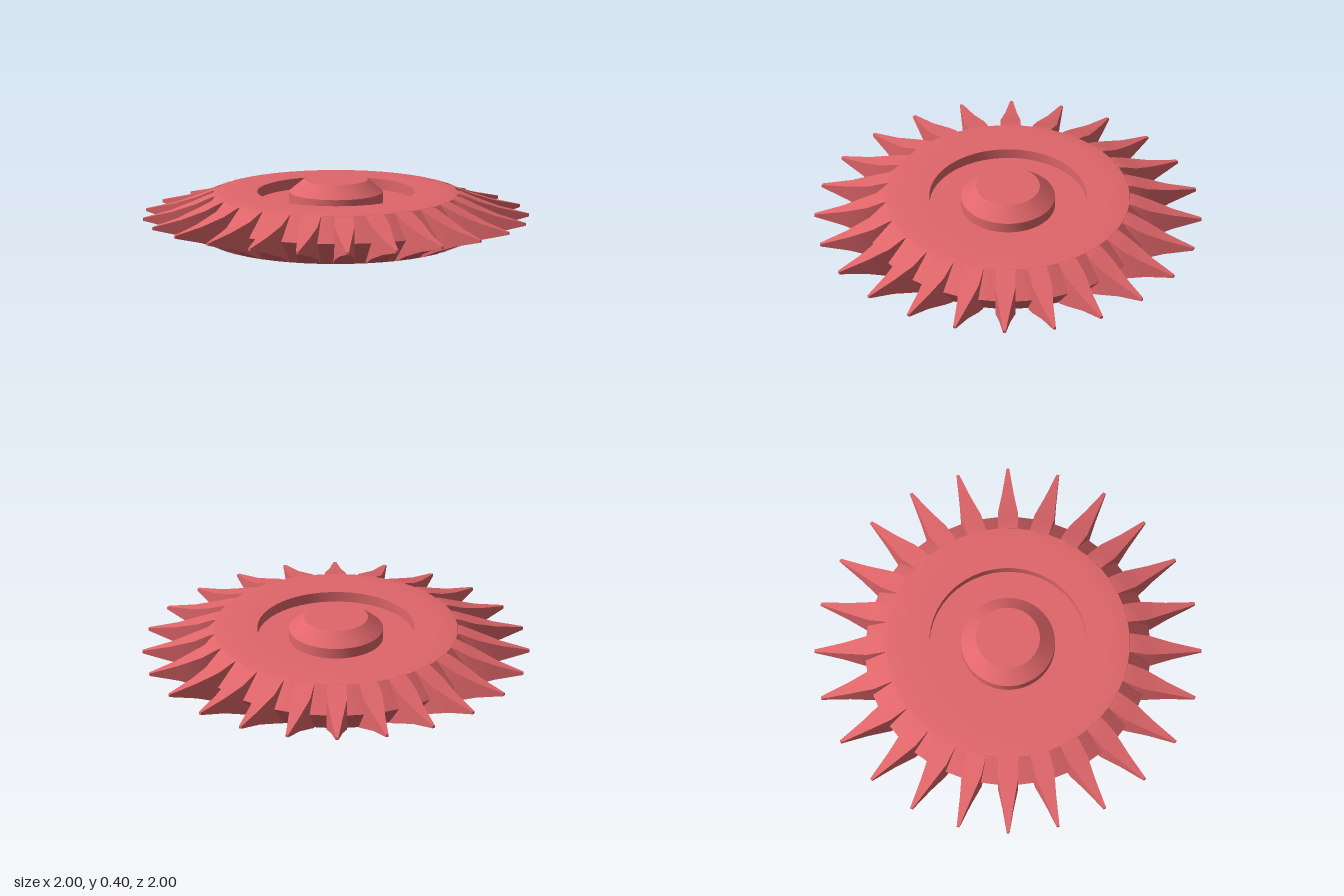
import * as THREE from 'three';
import { toCreasedNormals } from 'three/addons/utils/BufferGeometryUtils.js';

const MID = 0.2; // height of the disc's middle plane
const SPIKES = 24;

// Loft rectangular sections [distance, half width, half height] along +z
function loftRects(sections) {
  const pos = [];
  const idx = [];
  for (const [r, w, h] of sections) {
    pos.push(-w, -h, r, w, -h, r, w, h, r, -w, h, r);
  }
  for (let s = 0; s < sections.length - 1; s++) {
    for (let k = 0; k < 4; k++) {
      const a = s * 4 + k;
      const b = s * 4 + ((k + 1) % 4);
      idx.push(a, b, b + 4, a, b + 4, a + 4);
    }
  }
  const e = (sections.length - 1) * 4;
  idx.push(0, 2, 1, 0, 3, 2, e, e + 1, e + 2, e, e + 2, e + 3);
  const geo = new THREE.BufferGeometry();
  geo.setAttribute('position', new THREE.Float32BufferAttribute(pos, 3));
  geo.setIndex(idx);
  return toCreasedNormals(geo, 0.3);
}

export function createModel() {
  const group = new THREE.Group();
  const material = new THREE.MeshStandardMaterial({ color: 0xe0666a });

  // Half profile: hub cone, hub wall, recess floor, recess wall, face, bevelled rim
  const half = [
    [0, 0.2], [0.165, 0.2], [0.243, 0.135], [0.243, 0.08],
    [0.407, 0.08], [0.407, 0.135], [0.53, 0.134], [0.59, 0.131], [0.63, 0.126],
  ];
  const profile = [
    ...half.map(([r, y]) => new THREE.Vector2(r, -y)),
    new THREE.Vector2(0.738, 0),
    ...half.map(([r, y]) => new THREE.Vector2(r, y)).reverse(),
  ];
  const disc = new THREE.Mesh(
    toCreasedNormals(new THREE.LatheGeometry(profile, 48), 0.5), material);
  disc.name = 'disc';
  disc.position.y = MID;
  group.add(disc);

  // Ring of tapering spikes standing proud of the bevelled rim
  const spikeGeo = loftRects([
    [0.62, 0.05, 0.127], [0.65, 0.051, 0.12], [0.73, 0.052, 0.085],
    [0.85, 0.03, 0.043], [1.0, 0.007, 0.007],
  ]);
  const spikes = new THREE.Group();
  spikes.name = 'spikes';
  for (let i = 0; i < SPIKES; i++) {
    const spike = new THREE.Mesh(spikeGeo, material);
    spike.name = 'spike';
    spike.position.y = MID;
    spike.rotation.y = (i / SPIKES) * Math.PI * 2 - 0.066;
    spikes.add(spike);
  }
  group.add(spikes);
  return group;
}
